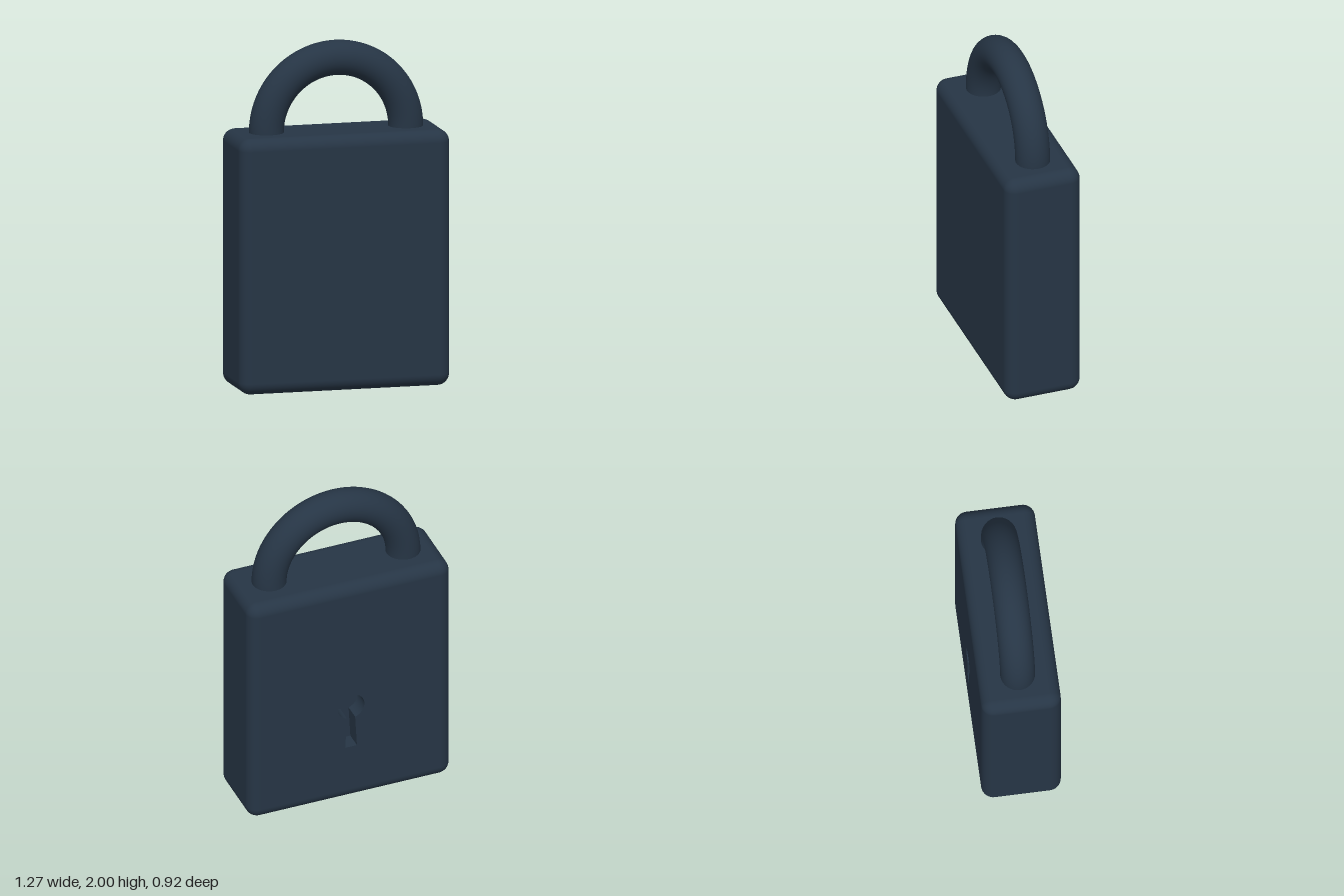
import * as THREE from 'three';
import { RoundedBoxGeometry } from 'three/addons/geometries/RoundedBoxGeometry.js';
import { toCreasedNormals } from 'three/addons/utils/BufferGeometryUtils.js';

const W = 1.245, H = 1.485, D = 0.458, R = 0.07; // body size and edge radius
const KEY_Y = 0.645 - H / 2, KEY_R = 0.082, KEY_DEPTH = 0.1;

// Keyhole outline, counter-clockwise: round top and a slot widening downwards
function keyholePoints() {
  const half = 0.025, start = -Math.PI / 2 + Math.asin(half / KEY_R);
  const sweep = Math.PI * 2 - 2 * Math.asin(half / KEY_R);
  const points = [];
  for (let i = 0; i <= 32; i++) {
    const a = start + sweep * i / 32;
    points.push(new THREE.Vector2(Math.cos(a) * KEY_R, KEY_Y + Math.sin(a) * KEY_R));
  }
  points.push(new THREE.Vector2(-0.036, KEY_Y - 0.28), new THREE.Vector2(0.036, KEY_Y - 0.28));
  return points;
}

// Rounded shell with its flat keyhole face left out
function shellGeometry() {
  const box = new RoundedBoxGeometry(W, H, D, 6, R);
  const p = box.attributes.position, n = box.attributes.normal;
  const pos = [], nor = [];
  for (let i = 0; i < p.count; i += 3) {
    if ([0, 1, 2].every((k) => p.getZ(i + k) > D / 2 - 1e-5)) continue;
    for (let k = i; k < i + 3; k++) {
      pos.push(p.getX(k), p.getY(k), p.getZ(k));
      nor.push(n.getX(k), n.getY(k), n.getZ(k));
    }
  }
  const g = new THREE.BufferGeometry();
  g.setAttribute('position', new THREE.Float32BufferAttribute(pos, 3));
  g.setAttribute('normal', new THREE.Float32BufferAttribute(nor, 3));
  return g;
}

// Inward-facing walls of the keyhole
function wallGeometry(points) {
  const pos = [], front = D / 2, back = D / 2 - KEY_DEPTH;
  points.forEach((a, i) => {
    const b = points[(i + 1) % points.length];
    pos.push(a.x, a.y, front, b.x, b.y, front, b.x, b.y, back);
    pos.push(a.x, a.y, front, b.x, b.y, back, a.x, a.y, back);
  });
  const g = new THREE.BufferGeometry();
  g.setAttribute('position', new THREE.Float32BufferAttribute(pos, 3));
  return toCreasedNormals(g, 0.6);
}

export function createModel() {
  const steel = new THREE.MeshStandardMaterial({ color: 0x263545 });
  steel.name = 'dark blue steel';

  const padlock = new THREE.Group();
  padlock.name = 'padlock';
  const add = (name, geometry, y, z = 0) => {
    const mesh = new THREE.Mesh(geometry, steel);
    mesh.name = name;
    mesh.position.set(0, y, z);
    padlock.add(mesh);
  };

  // Body with a keyhole cut into one face
  const points = keyholePoints();
  const x = W / 2 - R, y = H / 2 - R;
  const face = new THREE.Shape([[-x, -y], [x, -y], [x, y], [-x, y]].map((c) => new THREE.Vector2(...c)));
  face.holes.push(new THREE.Path(points));
  add('body', shellGeometry(), H / 2);
  add('keyholeFace', new THREE.ShapeGeometry(face), H / 2, D / 2);
  add('keyholeWalls', wallGeometry(points), H / 2);
  add('keyholeFloor', new THREE.ShapeGeometry(new THREE.Shape(points)), H / 2, D / 2 - KEY_DEPTH);

  // Half-ring shackle rising from the top
  add('shackle', new THREE.TorusGeometry(0.412, 0.1, 32, 64, Math.PI), H);
  padlock.children.at(-1).scale.y = (2 - H) / 0.512;

  // The keyhole faces the back, and the lock stands turned
  padlock.rotation.y = Math.PI - THREE.MathUtils.degToRad(27);
  const model = new THREE.Group();
  model.name = 'padlockModel';
  model.add(padlock);
  return model;
}
